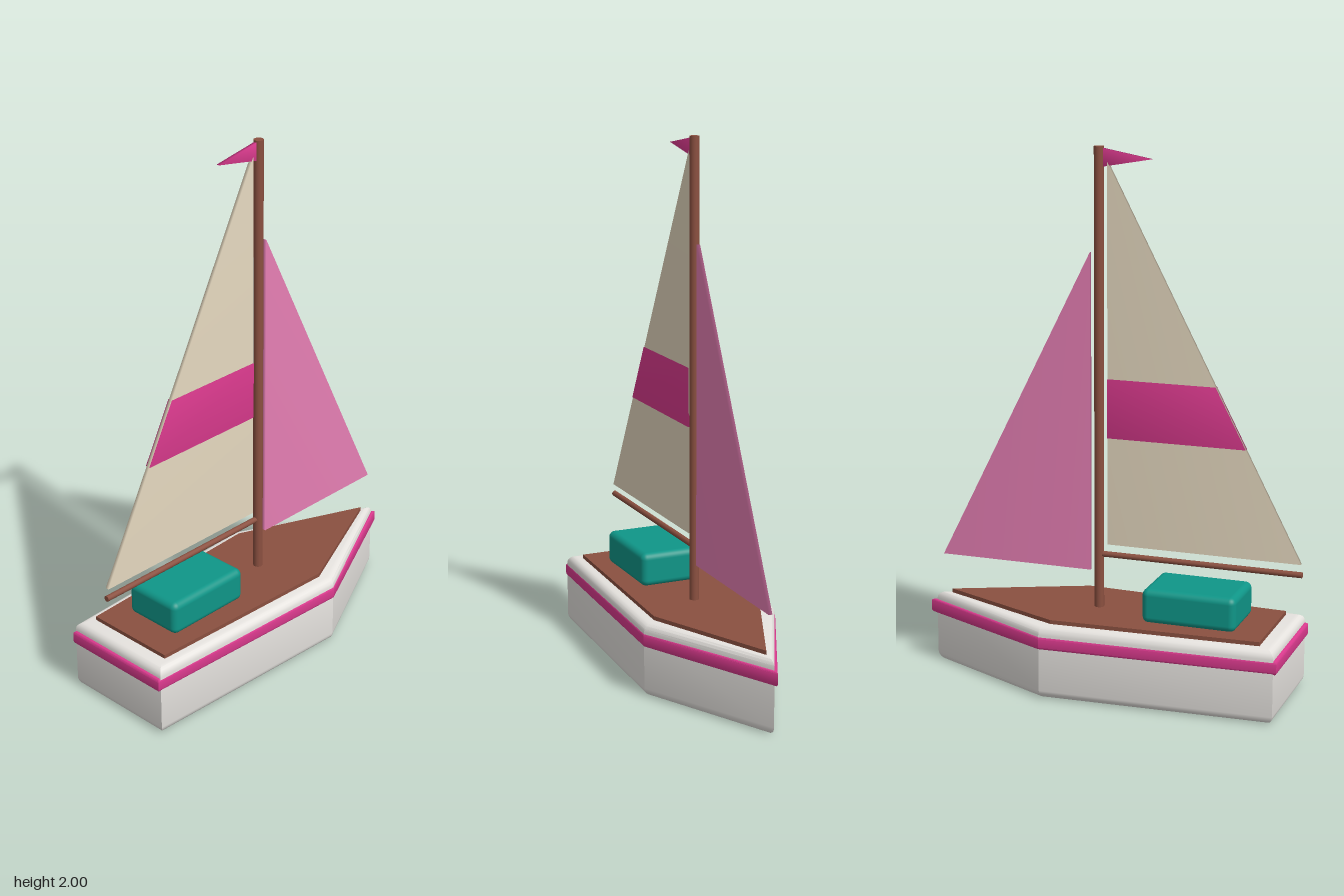
import * as THREE from 'three';
import { mergeVertices, toCreasedNormals } from 'three/addons/utils/BufferGeometryUtils.js';
import { RoundedBoxGeometry } from 'three/addons/geometries/RoundedBoxGeometry.js';

const paint = (name, color) => {
  const m = new THREE.MeshStandardMaterial({ color });
  m.name = name;
  return m;
};

export function createModel() {
  const boat = new THREE.Group();
  boat.name = 'sailboat';

  const white = paint('hull white', 0xe6e3df);
  const wood = paint('wood brown', 0x8b5040);
  const pink = paint('trim pink', 0xdb3a8e);
  const rose = paint('jib rose', 0xe67fb4);
  const cream = paint('sail cream', 0xe6d9c0);
  const teal = paint('cabin teal', 0x0f9688);

  const add = (name, geometry, material, x = 0, y = 0, z = 0) => {
    const mesh = new THREE.Mesh(geometry, material);
    mesh.name = name;
    mesh.position.set(x, y, z);
    boat.add(mesh);
    return mesh;
  };

  const outline = (points) => new THREE.Shape(points.map(([x, y]) => new THREE.Vector2(x, y)));

  // Horizontal boat-shaped slab between two heights, with a rounded rim
  const slab = (stern, sternHalf, beamX, beamHalf, bow, y0, y1, bevel) => {
    const shape = outline([
      [stern, -sternHalf], [beamX, -beamHalf], [bow, 0], [beamX, beamHalf], [stern, sternHalf],
    ]);
    const geometry = new THREE.ExtrudeGeometry(shape, {
      depth: y1 - y0 - 2 * bevel,
      bevelEnabled: bevel > 0,
      bevelSize: bevel,
      bevelThickness: bevel,
      bevelSegments: 4,
    });
    geometry.rotateX(-Math.PI / 2);
    geometry.translate(0, y0 + bevel, 0);
    return toCreasedNormals(geometry, 0.45);
  };

  // Upright cloth plate, softly shaded around its edges
  const cloth = (points, thickness) => {
    const geometry = new THREE.ExtrudeGeometry(outline(points), { depth: thickness, bevelEnabled: false });
    geometry.translate(0, 0, -thickness / 2);
    geometry.deleteAttribute('normal');
    geometry.deleteAttribute('uv');
    const merged = mergeVertices(geometry);
    merged.computeVertexNormals();
    return merged;
  };

  // Hull, rub rail and deck
  add('hull', slab(-0.663, 0.195, 0.175, 0.232, 0.662, 0, 0.275, 0.03), white);
  add('rubRail', slab(-0.695, 0.215, 0.18, 0.255, 0.715, 0.188, 0.24, 0.01), pink);
  add('deck', slab(-0.63, 0.18, 0.155, 0.212, 0.64, 0.265, 0.29, 0), wood);

  // Cabin
  add('cabin', new RoundedBoxGeometry(0.355, 0.13, 0.24, 4, 0.025), teal, -0.342, 0.35, 0);

  // Mast and boom
  add('mast', new THREE.CylinderGeometry(0.018, 0.018, 1.72, 16), wood, 0.04, 1.14, 0);
  const boom = add('boom', new THREE.CylinderGeometry(0.011, 0.011, 0.775, 12), wood, -0.347, 0.495, 0);
  boom.rotation.z = Math.PI / 2;

  // Mainsail with a stripe that follows its sloping edge
  const foot = 0.535, head = 1.945, luff = 0.006, clew = -0.73;
  const leech = (y) => clew + (luff - clew) * (y - foot) / (head - foot);
  add('mainSail', cloth([[clew, foot], [luff, foot], [luff, head]], 0.014), cream);
  add('sailStripe', cloth([
    [leech(0.94), 0.94], [luff, 0.94], [luff, 1.16], [leech(1.16), 1.16],
  ], 0.02), pink);

  // Jib and pennant
  add('jib', cloth([[0.073, 0.43], [0.67, 0.43], [0.073, 1.62]], 0.014), rose);
  add('pennant', cloth([[-0.16, 1.96], [0.023, 1.928], [0.023, 1.993]], 0.012), pink);

  return boat;
}
